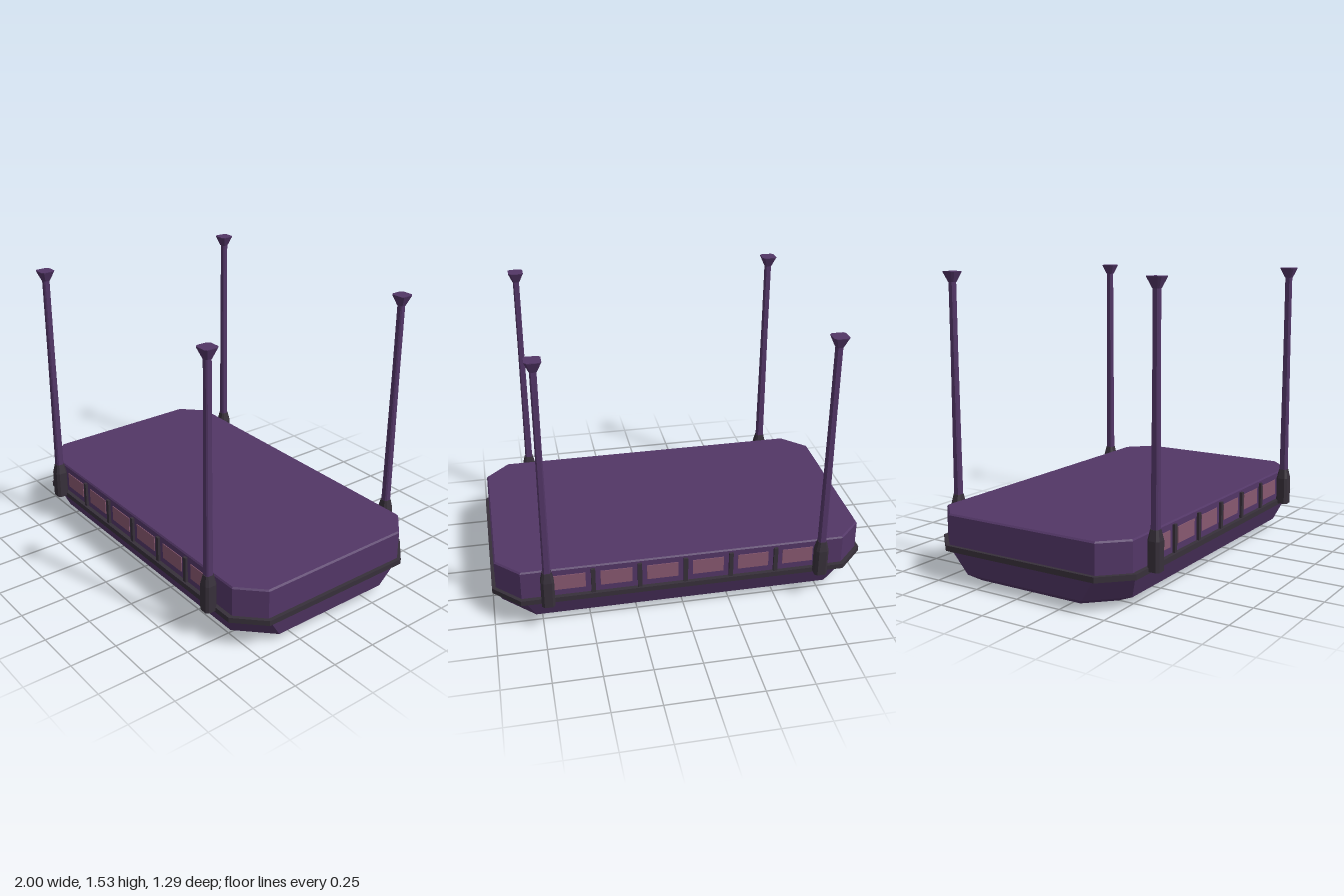
import * as THREE from 'three';

const flat = (name, color) => {
  const m = new THREE.MeshStandardMaterial({ color });
  m.name = name;
  return m;
};

// Closed solid through chamfered rectangles: [half x, half z, chamfer, y], bottom to top
function loft(sections) {
  const rings = sections.map(([a, b, c, y]) =>
    [[a, -b + c], [a, b - c], [a - c, b], [-a + c, b], [-a, b - c], [-a, -b + c], [-a + c, -b], [a - c, -b]]
      .map(([x, z]) => [x, y, z]));
  const pos = [];
  const tri = (...pts) => pts.forEach((p) => pos.push(...p));
  const first = rings[0], last = rings[rings.length - 1];
  const low = [0, first[0][1], 0], high = [0, last[0][1], 0];
  for (let i = 0; i < 8; i++) {
    const j = (i + 1) % 8;
    for (let r = 0; r < rings.length - 1; r++) {
      const d = rings[r], u = rings[r + 1];
      tri(d[i], u[i], d[j]);
      tri(d[j], u[i], u[j]);
    }
    tri(low, first[i], first[j]);
    tri(high, last[j], last[i]);
  }
  const g = new THREE.BufferGeometry();
  g.setAttribute('position', new THREE.Float32BufferAttribute(pos, 3));
  g.computeVertexNormals();
  return g;
}

export function createModel() {
  const purple = flat('purple hull', 0x523666);
  const dark = flat('dark trim', 0x37303a);
  const pink = flat('dusky pink glass', 0x875870);

  const model = new THREE.Group();
  model.name = 'hangingGondola';
  const add = (parent, name, geometry, material, x = 0, y = 0, z = 0) => {
    const mesh = new THREE.Mesh(geometry, material);
    mesh.name = name;
    mesh.position.set(x, y, z);
    parent.add(mesh);
    return mesh;
  };

  // Hull: tapering belly, floor plate, rim and upper cabin
  add(model, 'lowerHull', loft([
    [0.9, 0.43, 0.13, 0.008], [0.955, 0.515, 0.17, 0.045], [0.978, 0.565, 0.14, 0.165],
  ]), purple);
  add(model, 'floorPlate', loft([[0.785, 0.33, 0.13, 0], [0.785, 0.33, 0.13, 0.02]]), dark);
  add(model, 'rim', loft([[1, 0.585, 0.14, 0.163], [1, 0.585, 0.14, 0.191]]), dark);
  add(model, 'upperHull', loft([
    [0.98, 0.562, 0.125, 0.18], [0.98, 0.562, 0.125, 0.342], [0.972, 0.556, 0.122, 0.35],
  ]), purple);

  // Windows and pillars along both long sides
  const windowGeo = new THREE.BoxGeometry(0.165, 0.085, 0.008);
  const pillarGeo = new THREE.BoxGeometry(0.022, 0.145, 0.022);
  for (const side of [1, -1]) {
    const row = new THREE.Group();
    row.name = side > 0 ? 'frontWindows' : 'backWindows';
    model.add(row);
    for (let i = 0; i < 6; i++) add(row, 'window', windowGeo, pink, (i - 2.5) * 0.2425, 0.268, side * 0.562);
    for (let i = 0; i < 5; i++) add(row, 'pillar', pillarGeo, dark, (i - 2) * 0.2425, 0.26, side * 0.565);
  }

  // Four corner posts with dark sockets and flared caps
  const socketGeo = loft([
    [0.034, 0.033, 0.013, 0.172], [0.034, 0.033, 0.013, 0.32], [0.022, 0.023, 0.009, 0.372],
  ]);
  const postGeo = loft([
    [0.02, 0.02, 0.007, 0.36], [0.0165, 0.0165, 0.006, 1.1], [0.0165, 0.0165, 0.006, 1.485],
  ]);
  const capGeo = loft([
    [0.0185, 0.0185, 0.007, 1.475], [0.04, 0.04, 0.012, 1.527], [0.04, 0.04, 0.012, 1.53],
  ]);
  for (const sx of [1, -1]) for (const sz of [1, -1]) {
    const post = new THREE.Group();
    post.name = `${sz > 0 ? 'front' : 'back'}${sx > 0 ? 'Left' : 'Right'}Post`;
    post.position.set(sx * 0.722, 0, sz * 0.603);
    model.add(post);
    add(post, 'socket', socketGeo, dark);
    add(post, 'shaft', postGeo, purple);
    add(post, 'cap', capGeo, purple);
  }
  return model;
}
